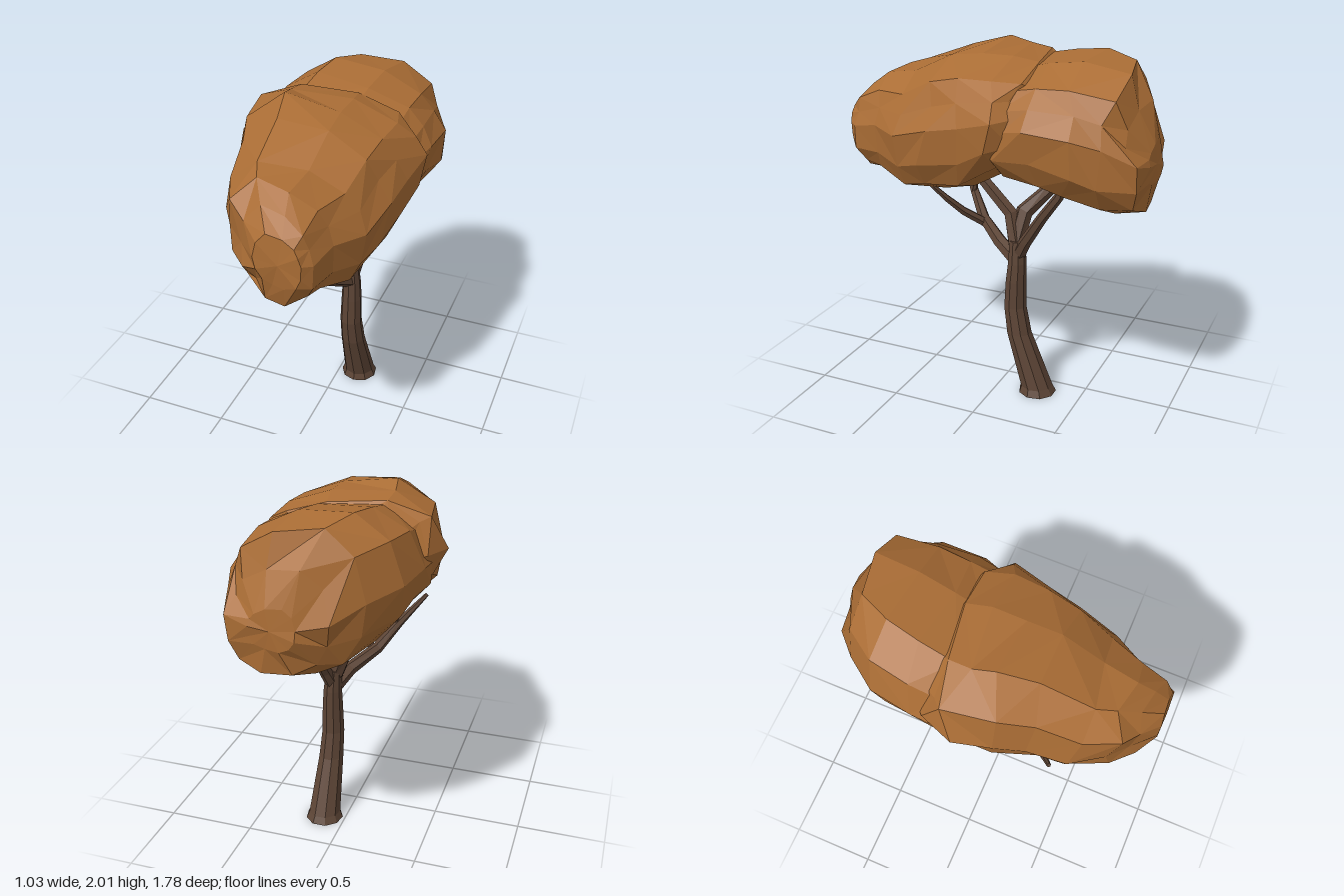
import * as THREE from 'three';

const bark = new THREE.MeshStandardMaterial({ color: 0x5c4435, flatShading: true, roughness: 1 });
const leaf = new THREE.MeshStandardMaterial({ color: 0xaa6d35, flatShading: true, roughness: 1 });
const X = new THREE.Vector3(1, 0, 0), Z = new THREE.Vector3(0, 0, 1);

// Small seeded generator for the uneven facets
function seeded(seed) {
  let s = seed;
  return () => ((s = (s * 16807) % 2147483647) / 2147483647) - 0.5;
}

// Ring of n points around c; u x v must point along the loft
function ring(c, u, v, r, n) {
  return Array.from({ length: n }, (_, j) => {
    const a = (j / n) * Math.PI * 2;
    return c.clone().addScaledVector(u, Math.cos(a) * r).addScaledVector(v, Math.sin(a) * r);
  });
}

// Skin a list of rings and close both ends
function loft(name, rings, material, bulge = 0) {
  const n = rings[0].length, last = rings.length - 1;
  const points = rings.flat(), index = [];
  for (let i = 0; i < last; i++) {
    for (let j = 0; j < n; j++) {
      const a = i * n + j, b = i * n + ((j + 1) % n), c = a + n, d = b + n;
      if ((i * 3 + j * 5) % 4 < 2) index.push(a, b, c, b, d, c);
      else index.push(a, b, d, a, d, c);
    }
  }
  for (const end of [0, last]) {
    const mid = new THREE.Vector3();
    rings[end].forEach((p) => mid.addScaledVector(p, 1 / n));
    mid.z += end ? bulge : -bulge;
    const m = points.push(mid) - 1;
    for (let j = 0; j < n; j++) {
      const a = end * n + j, b = end * n + ((j + 1) % n);
      index.push(m, ...(end ? [a, b] : [b, a]));
    }
  }
  const geometry = new THREE.BufferGeometry().setFromPoints(points);
  geometry.setIndex(index);
  geometry.computeVertexNormals();
  const mesh = new THREE.Mesh(geometry, material);
  mesh.name = name;
  return mesh;
}

// Tapering limb through [x, y, z, radius] stops
function limb(name, stops, sides = 6) {
  const pts = stops.map(([x, y, z]) => new THREE.Vector3(x, y, z));
  const rings = pts.map((p, i) => {
    const t = pts[Math.min(i + 1, pts.length - 1)].clone().sub(pts[Math.max(i - 1, 0)]).normalize();
    const u = new THREE.Vector3().crossVectors(X, t).normalize();
    const v = new THREE.Vector3().crossVectors(t, u);
    return ring(p, u, v, stops[i][3], sides);
  });
  return loft(name, rings, bark);
}

// Lopsided crown outline in unit size: sloping on the upper left, full on the lower left
const crownTop = [[1, 0.07], [0.88, 0.38], [0.72, 0.67], [0.22, 0.93], [-0.45, 1], [-0.84, 0.66], [-1, 0.07]];
const frontOutline = [...crownTop, [-0.9, -0.36], [-0.64, -0.7], [-0.25, -0.9], [0.25, -1], [0.78, -0.78], [0.96, -0.45]];
const rearOutline = [...crownTop, [-0.94, -0.4], [-0.72, -0.8], [-0.3, -1], [0.3, -0.97], [0.78, -0.82], [0.97, -0.45]];

// Faceted leaf mass through [z, xMin, xMax, yMin, yMax] sections, back to front
function foliage(name, outline, sections, seed) {
  const rnd = seeded(seed);
  const rings = sections.map(([z, x0, x1, y0, y1], i) => {
    const depth = i > 0 && i < sections.length - 1 ? 0.09 : 0.02;
    return outline.map(([u, v]) => {
      const k = 1 + rnd() * 0.06;
      return new THREE.Vector3(
        (x0 + x1 + (x1 - x0) * u * k) / 2, (y0 + y1 + (y1 - y0) * v * k) / 2, z + rnd() * depth);
    });
  });
  return loft(name, rings, leaf, 0.01);
}

export function createModel() {
  const tree = new THREE.Group();
  tree.name = 'tree';

  // Curved trunk with a flared foot
  const trunk = [
    [0.125, 0, -0.24, 0.11], [0.125, 0.04, -0.235, 0.093], [0.12, 0.36, -0.12, 0.072],
    [0.115, 0.52, -0.092, 0.065], [0.115, 0.68, -0.096, 0.06], [0.112, 0.79, -0.102, 0.054],
    [0.105, 0.92, -0.1, 0.045],
  ];
  tree.add(loft('trunk', trunk.map(([x, y, z, r]) => ring(new THREE.Vector3(x, y, z), Z, X, r, 9)), bark));

  // Branches reaching into the crown
  tree.add(
    limb('frontRightBranch', [[0.11, 0.8, -0.1, 0.045], [0.05, 0.87, 0.03, 0.04], [-0.07, 0.95, 0.19, 0.034],
      [-0.17, 1.08, 0.3, 0.026], [-0.305, 1.23, 0.42, 0.012]]),
    limb('frontLeftBranch', [[-0.05, 0.93, 0.17, 0.028], [0.04, 1.02, 0.27, 0.025], [0.11, 1.11, 0.34, 0.02],
      [0.18, 1.22, 0.42, 0.012]]),
    limb('frontTwig', [[-0.16, 1.06, 0.3, 0.018], [-0.15, 1.14, 0.28, 0.015], [-0.14, 1.27, 0.25, 0.012]], 5),
    limb('middleBranch', [[0.1, 0.88, -0.09, 0.045], [0.06, 1.06, -0.04, 0.043], [0.055, 1.17, 0.07, 0.038],
      [0.05, 1.3, 0.2, 0.032]]),
    limb('rearRightBranch', [[0.09, 0.9, -0.09, 0.045], [0.03, 1.07, -0.11, 0.05], [-0.1, 1.18, -0.21, 0.038],
      [-0.29, 1.38, -0.36, 0.026]]),
    limb('rearLeftBranch', [[0.11, 0.82, -0.1, 0.042], [0.135, 0.93, -0.16, 0.036], [0.16, 1.1, -0.27, 0.03],
      [0.17, 1.24, -0.37, 0.027], [0.17, 1.38, -0.42, 0.025]]),
  );

  // Crown: a rear and a front leaf mass that overlap
  tree.add(
    foliage('rearFoliage', rearOutline, [
      [-0.88, 0.02, 0.27, 1.38, 1.6], [-0.82, -0.13, 0.4, 1.24, 1.78], [-0.7, -0.27, 0.46, 1.2, 1.96],
      [-0.5, -0.4, 0.49, 1.25, 1.99], [-0.3, -0.45, 0.49, 1.31, 1.97], [-0.12, -0.46, 0.47, 1.32, 1.92],
      [0.0, -0.3, 0.35, 1.4, 1.84],
    ], 17),
    foliage('frontFoliage', frontOutline, [
      [-0.32, -0.33, 0.28, 1.52, 1.84], [-0.2, -0.46, 0.44, 1.42, 1.95], [-0.08, -0.51, 0.51, 1.36, 1.98],
      [0.12, -0.46, 0.48, 1.22, 2.0], [0.32, -0.39, 0.44, 1.18, 1.96], [0.52, -0.35, 0.4, 1.16, 1.86],
      [0.7, -0.25, 0.3, 1.23, 1.83], [0.81, -0.14, 0.26, 1.26, 1.75], [0.88, -0.03, 0.22, 1.38, 1.67],
    ], 91),
  );
  return tree;
}
